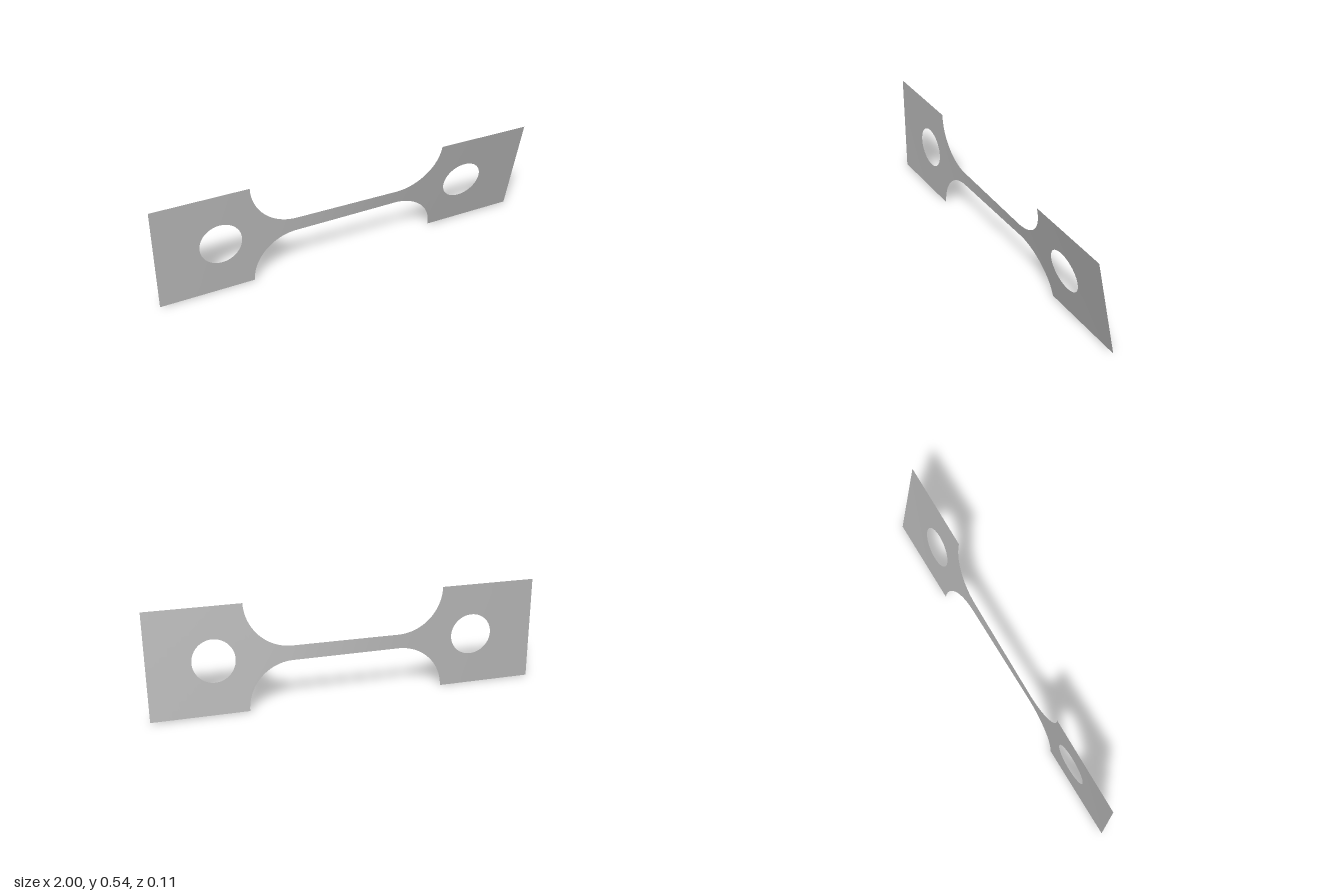
import * as THREE from 'three';
import { mergeGeometries, mergeVertices } from 'three/addons/utils/BufferGeometryUtils.js';

const HALF = 0.271;      // half height of the grips
const NECK = 0.037;      // half height of the neck
const FILLET = HALF - NECK;
const FILLET_X = 0.275;  // where the neck starts to widen
const HOLE_X = 0.67, HOLE_R = 0.108;

// Outer edge and hole edge, measured up from the centre line
function outerEdge(x) {
  const d = Math.abs(x) - FILLET_X;
  if (d <= 0) return NECK;
  if (d >= FILLET) return HALF;
  return HALF - Math.sqrt(FILLET * FILLET - d * d);
}
function holeEdge(x) {
  const d = Math.abs(x) - HOLE_X;
  return Math.sqrt(Math.max(0, HOLE_R * HOLE_R - d * d));
}

// Twist angle: nearly constant in the grips, steep along the neck
function twist(x) {
  const keys = [[-1, 0.2], [-0.5, 0.9], [-0.3, 1.7], [0.3, 10.5], [0.5, 11.3], [1, 12]];
  let i = 0;
  while (i < keys.length - 2 && x > keys[i + 1][0]) i++;
  const [x0, a0] = keys[i], [x1, a1] = keys[i + 1];
  return THREE.MathUtils.degToRad(a0 + (a1 - a0) * (x - x0) / (x1 - x0));
}

// Column positions, denser along the curved edges
function columns() {
  const xs = [];
  const add = (n, f) => { for (let i = 0; i < n; i++) xs.push(f(i / n)); };
  add(14, t => FILLET_X * t);
  add(20, t => FILLET_X + FILLET * Math.sin(t * Math.PI / 2));
  add(3, t => THREE.MathUtils.lerp(FILLET_X + FILLET, HOLE_X - HOLE_R, t));
  add(32, t => HOLE_X - HOLE_R * Math.cos(t * Math.PI));
  add(6, t => THREE.MathUtils.lerp(HOLE_X + HOLE_R, 1, t));
  xs.push(1);
  return [...xs.slice(1).reverse().map(x => -x), ...xs];
}

// One half of the sheet (side 1 = upper, -1 = lower), bent into the twist
function halfSheet(side) {
  const xs = columns(), rows = 6;
  const geo = new THREE.PlaneGeometry(1, 1, xs.length - 1, rows);
  const pos = geo.attributes.position;
  for (let i = 0; i < pos.count; i++) {
    const x = xs[i % xs.length];
    const t = Math.floor(i / xs.length) / rows;
    const k = side > 0 ? 1 - t : t;
    const v = side * THREE.MathUtils.lerp(holeEdge(x), outerEdge(x), k);
    const a = twist(x);
    pos.setXYZ(i, x, HALF + v * Math.cos(a), v * Math.sin(a));
  }
  geo.deleteAttribute('uv');
  geo.deleteAttribute('normal');
  return geo;
}

export function createModel() {
  const group = new THREE.Group();
  group.name = 'twistedTestStrip';
  const metal = new THREE.MeshStandardMaterial({ color: 0xb3b3b3, side: THREE.DoubleSide });
  metal.name = 'greyMetal';

  const sheet = mergeVertices(mergeGeometries([halfSheet(1), halfSheet(-1)]), 1e-5);
  sheet.computeVertexNormals();
  const strip = new THREE.Mesh(sheet, metal);
  strip.name = 'twistedStrip';
  group.add(strip);
  return group;
}
